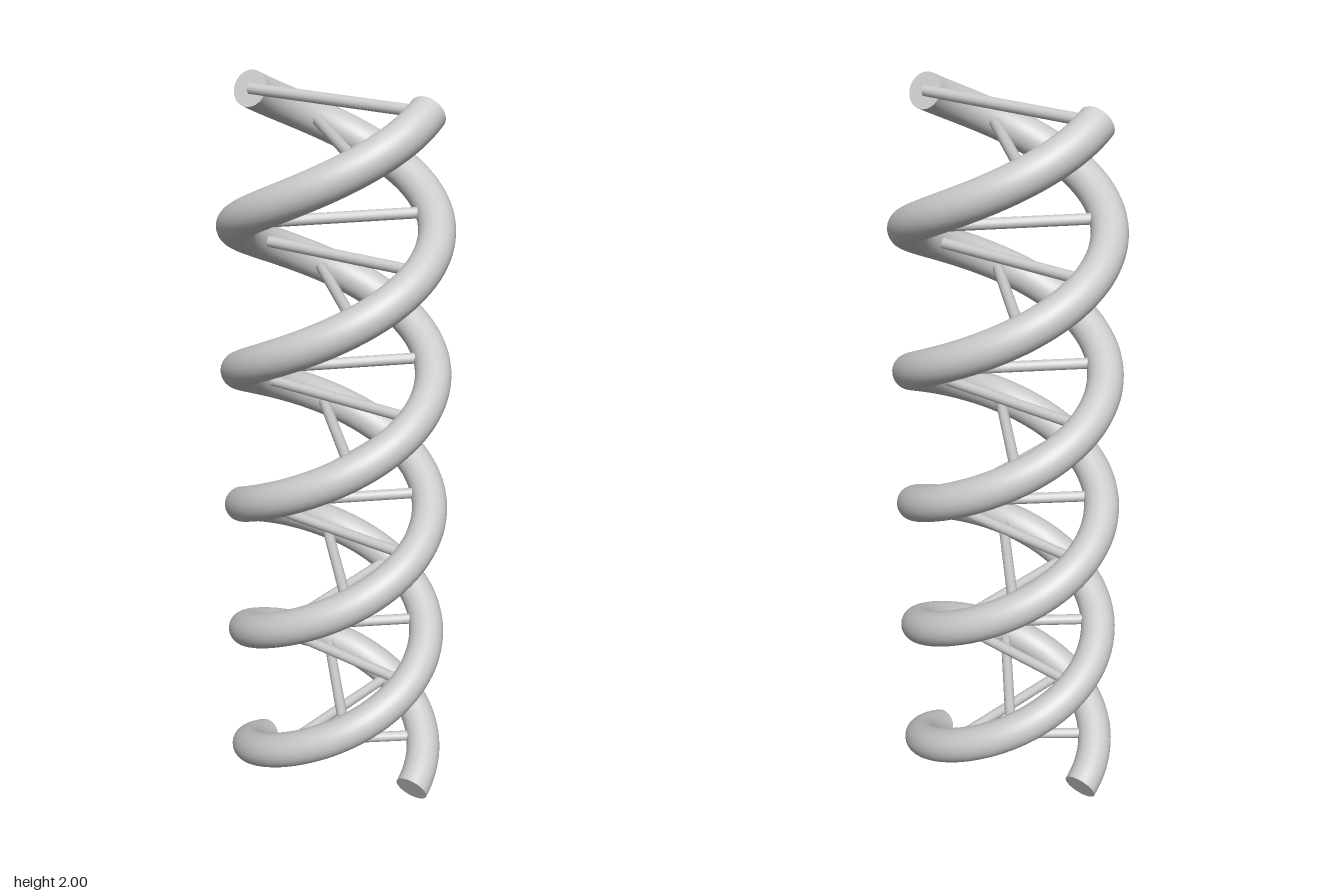
import * as THREE from 'three';

const RADIUS = 0.25, TUBE = 0.047, RUNG = 0.0143;
const Y0 = 0.043, Y1 = 1.957, SWEEP = 5 * Math.PI; // two and a half turns

// Point on a strand, t = 0 at the bottom and 1 at the top
function helixPoint(t, phase, target = new THREE.Vector3()) {
  const a = phase - SWEEP * t;
  return target.set(RADIUS * Math.cos(a), Y0 + (Y1 - Y0) * t, RADIUS * Math.sin(a));
}

class Helix extends THREE.Curve {
  constructor(phase) {
    super();
    this.phase = phase;
  }
  getPoint(t, target) {
    return helixPoint(t, this.phase, target);
  }
  getTangent(t, target = new THREE.Vector3()) {
    const a = this.phase - SWEEP * t;
    return target.set(RADIUS * SWEEP * Math.sin(a), Y1 - Y0, -RADIUS * SWEEP * Math.cos(a)).normalize();
  }
}

export function createModel() {
  const model = new THREE.Group();
  model.name = 'doubleHelix';
  const material = new THREE.MeshStandardMaterial({ color: 0xcccccc });
  const add = (parent, geometry, name) => {
    const mesh = new THREE.Mesh(geometry, material);
    mesh.name = name;
    parent.add(mesh);
    return mesh;
  };

  // Two opposite strands with flat ends
  for (const [name, phase] of [['strandA', Math.PI], ['strandB', 0]]) {
    const strand = new THREE.Group();
    strand.name = name;
    const curve = new Helix(phase);
    add(strand, new THREE.TubeGeometry(curve, 240, TUBE, 32, false), 'strandTube');
    for (const t of [0, 1]) {
      const cap = add(strand, new THREE.CircleGeometry(TUBE, 32), t ? 'topCap' : 'bottomCap');
      const outward = curve.getTangent(t).multiplyScalar(t ? 1 : -1);
      cap.position.copy(curve.getPoint(t));
      cap.quaternion.setFromUnitVectors(new THREE.Vector3(0, 0, 1), outward);
    }
    model.add(strand);
  }

  // Rungs joining the strands, stepping down from the top
  const rungs = new THREE.Group();
  rungs.name = 'rungs';
  const rungGeometry = new THREE.CylinderGeometry(RUNG, RUNG, 2 * RADIUS, 16);
  for (let i = 0; i < 20; i++) {
    const p = helixPoint(1 - (i * 5) / 99, 0);
    const rung = add(rungs, rungGeometry, 'rung');
    rung.position.y = p.y;
    rung.quaternion.setFromUnitVectors(new THREE.Vector3(0, 1, 0), p.setY(0).normalize());
  }
  model.add(rungs);
  return model;
}
